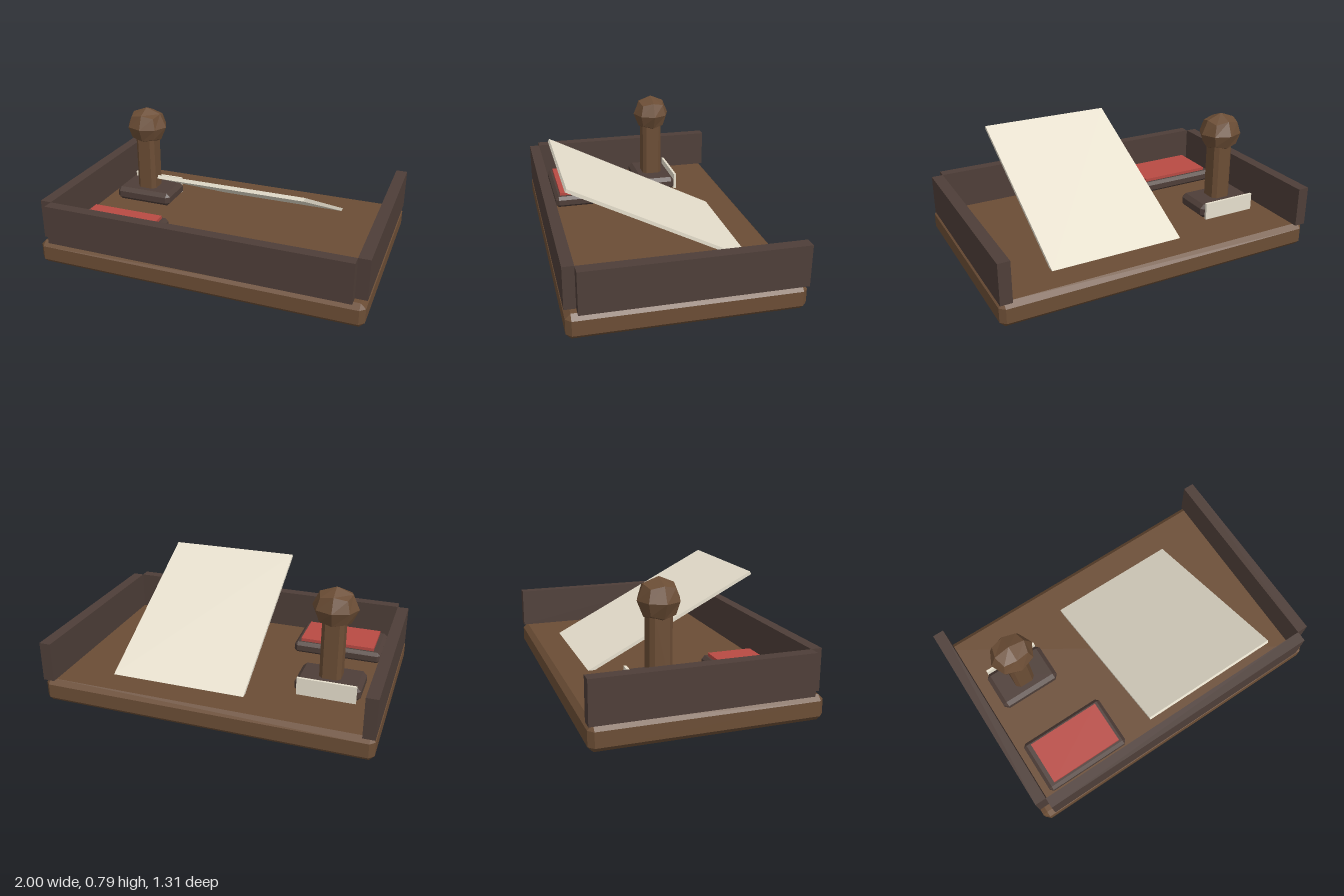
import * as THREE from 'three';
import { ConvexGeometry } from 'three/addons/geometries/ConvexGeometry.js';

const material = (name, color) => {
  const m = new THREE.MeshStandardMaterial({ color });
  m.name = name;
  return m;
};

// Box with every edge and corner cut off by c
function chamferBox(w, h, d, c) {
  const half = [w / 2, h / 2, d / 2];
  const points = [];
  for (const sx of [-1, 1]) for (const sy of [-1, 1]) for (const sz of [-1, 1])
    for (let axis = 0; axis < 3; axis++) {
      const p = half.map((v, i) => (i === axis ? v : v - c));
      points.push(new THREE.Vector3(sx * p[0], sy * p[1], sz * p[2]));
    }
  return new ConvexGeometry(points);
}

// Coarse ball: a 2x2x2 box blown up to a sphere, with flat faces
function facetBall(rx, ry, rz) {
  const g = new THREE.BoxGeometry(2, 2, 2, 2, 2, 2).toNonIndexed();
  const p = g.attributes.position;
  const v = new THREE.Vector3();
  for (let i = 0; i < p.count; i++) {
    v.fromBufferAttribute(p, i).normalize();
    p.setXYZ(i, v.x * rx, v.y * ry, v.z * rz);
  }
  g.computeVertexNormals();
  return g;
}

export function createModel() {
  const wood = material('wood', 0x6b4d35);
  const darkWood = material('dark wood', 0x4e3e38);
  const paper = material('paper', 0xe6dfcd);
  const red = material('red ink', 0xb84a43);

  const model = new THREE.Group();
  model.name = 'stampTray';
  const add = (name, geometry, mat, x, y, z, parent = model) => {
    const mesh = new THREE.Mesh(geometry, mat);
    mesh.name = name;
    mesh.position.set(x, y, z);
    parent.add(mesh);
    return mesh;
  };
  const group = (name) => {
    const g = new THREE.Group();
    g.name = name;
    model.add(g);
    return g;
  };

  // Tray: chamfered base, walls on three sides, open at the back
  add('base', chamferBox(2, 0.147, 1.31, 0.03), wood, 0, 0.0735, 0);
  add('frontWall', new THREE.BoxGeometry(1.86, 0.245, 0.065), darkWood, 0, 0.2695, 0.6225);
  for (const [name, side] of [['leftWall', 1], ['rightWall', -1]])
    add(name, new THREE.BoxGeometry(0.07, 0.245, 1.245), darkWood, side * 0.965, 0.2695, -0.0325);

  // Sheet leaning up towards the front wall
  const sheet = add('sheet', new THREE.BoxGeometry(0.835, 0.02, 1.165), paper, 0.212, 0.404, 0.064);
  sheet.rotation.x = -0.472;

  // Hand stamp with a knobbed handle
  const stamp = group('stamp');
  add('stampBlock', chamferBox(0.39, 0.09, 0.255, 0.025), darkWood, -0.66, 0.19, -0.183, stamp);
  add('stampPlate', new THREE.BoxGeometry(0.35, 0.11, 0.016), paper, -0.66, 0.2, -0.317, stamp);
  add('stampHandle', chamferBox(0.13, 0.42, 0.13, 0.023), wood, -0.66, 0.4, -0.18, stamp);
  add('stampKnob', facetBall(0.136, 0.124, 0.121), wood, -0.66, 0.665, -0.18, stamp);

  // Ink pad
  const inkPad = group('inkPad');
  add('padCase', chamferBox(0.555, 0.075, 0.34, 0.02), darkWood, -0.61, 0.18, 0.373, inkPad);
  add('padInk', new THREE.BoxGeometry(0.47, 0.04, 0.275), red, -0.606, 0.217, 0.373, inkPad);

  return model;
}
